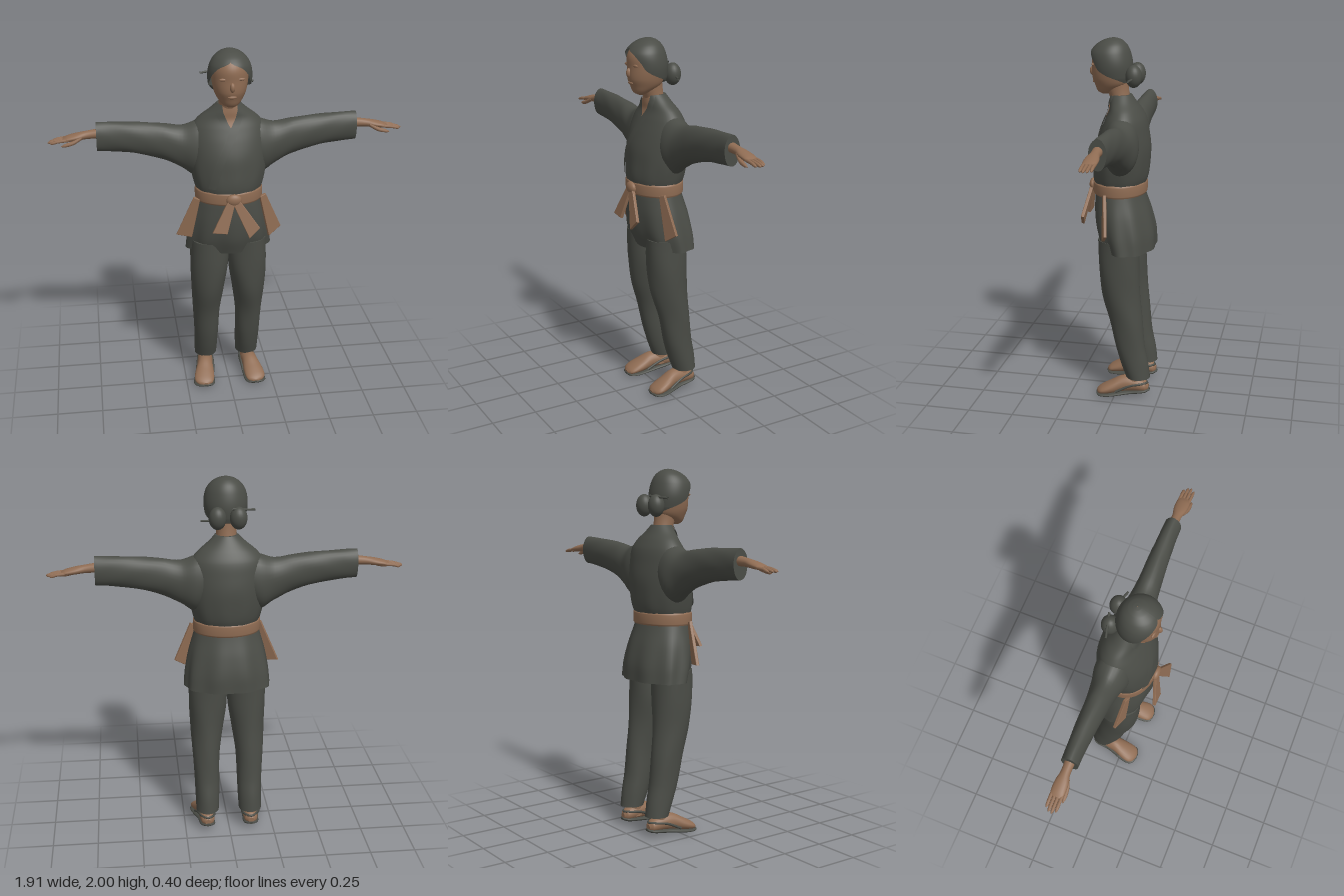
import * as THREE from 'three';

const cloth = new THREE.MeshStandardMaterial({ color: 0x4a4c46, side: THREE.DoubleSide });
cloth.name = 'charcoal';
const skin = new THREE.MeshStandardMaterial({ color: 0x8f6c53, side: THREE.DoubleSide });
skin.name = 'tan';

// Smooth value of a ring list [t, u, v, ru, rv] at position t along the axis
function ringAt(rings, t) {
  let i = 0;
  while (i < rings.length - 2 && t > rings[i + 1][0]) i++;
  const a = rings[i], b = rings[i + 1], h = b[0] - a[0], s = (t - a[0]) / h;
  const p = rings[i - 1] || a, q = rings[i + 2] || b;
  return a.map((_, k) => {
    if (k === 0) return t;
    const m0 = (b[k] - p[k]) / (b[0] - p[0]) * h, m1 = (q[k] - a[k]) / (q[0] - a[0]) * h;
    const s2 = s * s, s3 = s2 * s;
    return (2 * s3 - 3 * s2 + 1) * a[k] + (s3 - 2 * s2 + s) * m0 + (3 * s2 - 2 * s3) * b[k] + (s3 - s2) * m1;
  });
}

// Skin through elliptical rings; axis 'y' uses u = z, v = x; 'x' uses u = y, v = z; 'z' uses u = x, v = y
function loft(axis, rings, { n = 32, steps = 5, fold = () => 1, gap = null, mirror = false } = {}) {
  const ax = 'xyz'.indexOf(axis), pos = [], idx = [], rows = (rings.length - 1) * steps;
  const put = (t, u, v) => {
    const c = [0, 0, 0];
    c[ax] = t; c[(ax + 1) % 3] = u; c[(ax + 2) % 3] = v;
    pos.push(mirror ? -c[0] : c[0], c[1], c[2]);
  };
  const putRing = t => {
    const [, u, v, ru, rv] = ringAt(rings, t);
    const g = gap ? gap(t) : [0, 0];
    for (let j = 0; j <= n; j++) {
      const a = g[0] + g[1] + (Math.PI * 2 - 2 * g[1]) * j / n, f = fold(a, t);
      put(t, u + ru * f * Math.cos(a), v + rv * f * Math.sin(a));
    }
    return [u, v];
  };
  const tri = (a, b, c) => mirror ? idx.push(a, c, b) : idx.push(a, b, c);
  for (let i = 0; i <= rows; i++) {
    const k = Math.min(Math.floor(i / steps), rings.length - 2), s = i / steps - k;
    putRing(rings[k][0] + (rings[k + 1][0] - rings[k][0]) * s);
  }
  const quadEnd = gap ? n + 1 : n;
  for (let i = 0; i < rows; i++) for (let j = 0; j < n; j++) {
    const a = i * (n + 1) + j, b = gap || j < quadEnd - 1 ? a + 1 : i * (n + 1), d = a + n + 1;
    const c = b + n + 1;
    tri(a, b, c); tri(a, c, d);
  }
  if (!gap) [0, rings.length - 1].forEach((k, end) => {
    const s = pos.length / 3, [u, v] = putRing(rings[k][0]), m = pos.length / 3;
    put(rings[k][0], u, v);
    for (let j = 0; j < n; j++) end ? tri(s + j, s + j + 1, m) : tri(s + j + 1, s + j, m);
  });
  const g = new THREE.BufferGeometry();
  g.setAttribute('position', new THREE.Float32BufferAttribute(pos, 3));
  g.setIndex(idx);
  g.computeVertexNormals();
  return g;
}

const torsoRings = [
  [1.14, 0, 0, .125, .165], [1.2, 0, 0, .135, .17], [1.26, -.005, 0, .15, .187], [1.34, -.012, 0, .152, .203],
  [1.42, -.018, 0, .148, .208], [1.5, -.025, 0, .13, .21], [1.57, -.032, 0, .108, .195],
  [1.62, -.03, 0, .085, .155], [1.66, -.018, 0, .07, .105], [1.7, -.008, 0, .055, .062]];

// Thin sheet laid on the chest, from rows [y, x0, x1]
function chestPatch(rows, lift) {
  const pos = [], idx = [], m = 8, steps = 20;
  for (let i = 0; i <= steps; i++) {
    const f = i / steps * (rows.length - 1), k = Math.min(Math.floor(f), rows.length - 2);
    const [y, x0, x1] = rows[k].map((v, c) => v + (rows[k + 1][c] - v) * (f - k));
    const [, cz, , rz, rx] = ringAt(torsoRings, y);
    for (let j = 0; j <= m; j++) {
      const x = x0 + (x1 - x0) * j / m;
      pos.push(x, y, cz + rz * Math.sqrt(Math.max(0, 1 - (x / rx) ** 2)) + lift);
      if (i < steps && j < m) {
        const a = i * (m + 1) + j, d = a + m + 1;
        idx.push(a, a + 1, d + 1, a, d + 1, d);
      }
    }
  }
  const g = new THREE.BufferGeometry();
  g.setAttribute('position', new THREE.Float32BufferAttribute(pos, 3));
  g.setIndex(idx);
  g.computeVertexNormals();
  return g;
}

export function createModel() {
  const model = new THREE.Group();
  const add = (name, geometry, material) => {
    const mesh = new THREE.Mesh(geometry, material);
    mesh.name = name;
    model.add(mesh);
    return mesh;
  };
  const ball = (name, mat, p, s) => {
    const b = add(name, new THREE.SphereGeometry(1, 24, 16), mat);
    b.position.set(...p);
    b.scale.set(...s);
  };
  const rod = (name, points, r, mat) => add(name, new THREE.TubeGeometry(
    new THREE.CatmullRomCurve3(points.map(p => new THREE.Vector3(...p))), 20, r, 8), mat);

  // Jacket, with overlapping lapels and an open neck
  add('jacket', loft('y', torsoRings, { n: 48,
    fold: (a, t) => 1 + .012 * Math.sin(11 * a) * Math.max(0, 1 - Math.abs(t - 1.29) / .15) }), cloth);
  add('chest', chestPatch([[1.565, .01, .014], [1.62, -.026, .034], [1.67, -.042, .048], [1.698, -.045, .047]], .004), skin);
  add('rightLapel', chestPatch([[1.53, -.005, .035], [1.6, -.05, -.01], [1.66, -.075, -.035], [1.698, -.058, -.04]], .008), cloth);
  add('leftLapel', chestPatch([[1.26, -.125, -.085], [1.4, -.085, -.04], [1.55, -.015, .035],
    [1.63, .03, .072], [1.675, .042, .072], [1.698, .04, .058]], .009), cloth);

  // Skirt of the jacket, flared and lower at the back
  add('jacketSkirt', loft('y', [[.86, -.054, 0, .147, .236], [.95, -.037, 0, .16, .228], [1.05, -.02, 0, .155, .21],
    [1.14, -.006, 0, .14, .185], [1.2, 0, 0, .128, .168]], { n: 64,
    fold: (a, t) => 1 + .03 * Math.sin(9 * a + 1) * Math.min(1, Math.max(0, (1.18 - t) / .25)) }), cloth);

  // Belt, knot and hanging ends
  add('belt', loft('y', [[1.165, -.002, 0, .142, .18], [1.175, -.002, 0, .147, .184],
    [1.225, -.002, 0, .147, .184], [1.235, -.002, 0, .141, .178]], { n: 48 }), skin);
  ball('beltKnot', skin, [.01, 1.2, .147], [.042, .034, .022]);
  const tail = (name, p, rot, len, top, bottom) => {
    const s = new THREE.Shape([[-top, 0], [-bottom, -len], [bottom, -len + .02], [top, 0]].map(q => new THREE.Vector2(...q)));
    const t = add(name, new THREE.ExtrudeGeometry(s, { depth: .012, bevelSize: .003, bevelThickness: .003, bevelSegments: 2 }), skin);
    t.position.set(...p);
    t.rotation.set(...rot);
  };
  tail('rightBeltEnd', [0, 1.2, .143], [-.2, 0, -.38], .2, .016, .036);
  tail('leftBeltEnd', [.015, 1.2, .143], [-.2, 0, .5], .22, .016, .036);

  // Parts that repeat on both sides
  for (const [side, k] of [['left', 1], ['right', -1]]) {
    const mirror = k < 0;
    tail(side + 'SideBeltEnd', [k * .178, 1.18, .045], [-.05, k * .35, k * .33], .24, .016, .04);

    add(side + 'Sleeve', loft('x', [[.08, 1.49, -.035, .13, .085], [.17, 1.445, -.035, .153, .096],
      [.25, 1.455, -.035, .118, .077], [.35, 1.488, -.035, .1, .063], [.5, 1.515, -.037, .086, .054],
      [.62, 1.526, -.038, .081, .047], [.7, 1.53, -.036, .079, .045]], { mirror,
      fold: (a, t) => 1 + .012 * Math.sin(5 * a + t * 30) }), cloth);

    // Hand with four fingers and a thumb
    add(side + 'Hand', loft('x', [[.68, 1.548, -.036, .027, .028], [.75, 1.542, -.036, .022, .025],
      [.8, 1.535, -.035, .02, .035], [.85, 1.527, -.035, .015, .036], [.875, 1.523, -.035, .007, .03]],
    { n: 20, mirror }), skin);
    for (let i = 0; i < 4; i++) {
      const z = -.061 + i * .0175, tip = [.935, .95, .955, .942][i];
      add(side + 'Finger' + (i + 1), loft('x', [[.84, 1.525, z, .009, .009], [.9, 1.519, z, .0085, .0085],
        [tip - .012, 1.512, z, .0075, .0075], [tip, 1.51, z, .002, .002]], { n: 10, mirror }), skin);
    }
    add(side + 'Thumb', loft('x', [[.775, 1.535, -.015, .012, .012], [.82, 1.512, -.002, .012, .012],
      [.865, 1.5, .002, .009, .009], [.885, 1.496, .002, .002, .002]], { n: 10, mirror }), skin);

    add(side + 'Trouser', loft('y', [[.115, -.128, .122, .067, .063], [.2, -.107, .121, .078, .067],
      [.3, -.083, .121, .083, .071], [.45, -.06, .122, .091, .077], [.6, -.03, .116, .105, .091],
      [.75, -.018, .108, .112, .107], [.92, -.015, .105, .113, .108]], { mirror,
      fold: (a, t) => 1 + .015 * Math.sin(4 * a + t * 14) }), cloth);

    // Foot, sole and sandal strap
    add(side + 'Ankle', loft('y', [[.05, -.105, .125, .05, .04], [.1, -.105, .125, .044, .038],
      [.16, -.115, .122, .043, .04]], { n: 20, mirror }), skin);
    add(side + 'Foot', loft('z', [[-.188, .124, .058, .016, .015], [-.17, .124, .062, .036, .032],
      [-.1, .128, .073, .044, .045], [-.04, .135, .07, .046, .048], [.02, .145, .05, .056, .037],
      [.065, .15, .036, .056, .026], [.09, .148, .028, .042, .017], [.102, .146, .024, .015, .008]], { n: 24, mirror }), skin);
    add(side + 'Sole', loft('z', [[-.195, .124, .042, .015, .006], [-.17, .124, .038, .041, .013],
      [-.08, .13, .026, .046, .014], [.02, .146, .014, .06, .013], [.07, .15, .012, .06, .012],
      [.095, .148, .014, .045, .01], [.106, .146, .016, .015, .005]], { n: 24, mirror }), cloth);
    rod(side + 'HeelStrap', [[k * .188, .035, -.01], [k * .172, .072, -.09], [k * .156, .082, -.155], [k * .124, .082, -.182],
      [k * .09, .082, -.155], [k * .084, .072, -.09], [k * .088, .035, -.01]], .007, cloth);

    // Hair bun and pin
    ball(side + 'Bun', cloth, [k * .055, 1.805, -.083], [.046, .06, .044]);
    const y = k > 0 ? 1.79 : 1.845;
    rod(side + 'HairPin', [[k * .02, y + .012, -.1], [k * .08, y + .005, -.085], [k * .142, y, -.068]], .006, cloth);
  }

  // Neck and head
  add('neck', loft('y', [[1.6, -.015, 0, .055, .06], [1.68, 0, 0, .054, .055], [1.73, .012, 0, .058, .055],
    [1.79, .02, 0, .06, .06]]), skin);
  add('head', loft('y', [[1.702, .08, 0, .018, .02], [1.715, .078, 0, .042, .042], [1.75, .052, 0, .084, .07],
    [1.79, .05, 0, .1, .086], [1.85, .046, 0, .105, .096], [1.91, .05, 0, .099, .092],
    [1.96, .045, 0, .073, .07], [1.985, .04, 0, .035, .035]], { n: 40 }), skin);
  ball('nose', skin, [0, 1.822, .148], [.014, .026, .018]);
  ball('mouth', skin, [0, 1.768, .14], [.024, .009, .009]);
  for (const k of [-1, 1]) ball('brow', skin, [k * .04, 1.862, .137], [.028, .008, .008]);

  // Hair cap, open around the face and parted off-centre
  const opening = [[1.77, 2.5], [1.79, 2.05], [1.81, 1.6], [1.84, 1.15], [1.88, .92], [1.92, .58], [1.952, 0], [2, 0]];
  add('hair', loft('y', [[1.77, .036, 0, .094, .096], [1.8, .042, 0, .108, .109], [1.86, .046, 0, .114, .117],
    [1.92, .052, 0, .108, .108], [1.96, .047, 0, .085, .085], [1.986, .04, 0, .052, .052], [1.997, .036, 0, .022, .022],
    [2, .035, 0, .002, .002]], { n: 48, steps: 8, gap: t => [-.1, Math.max(0, ringAt(opening, t)[1])] }), cloth);

  return model;
}
